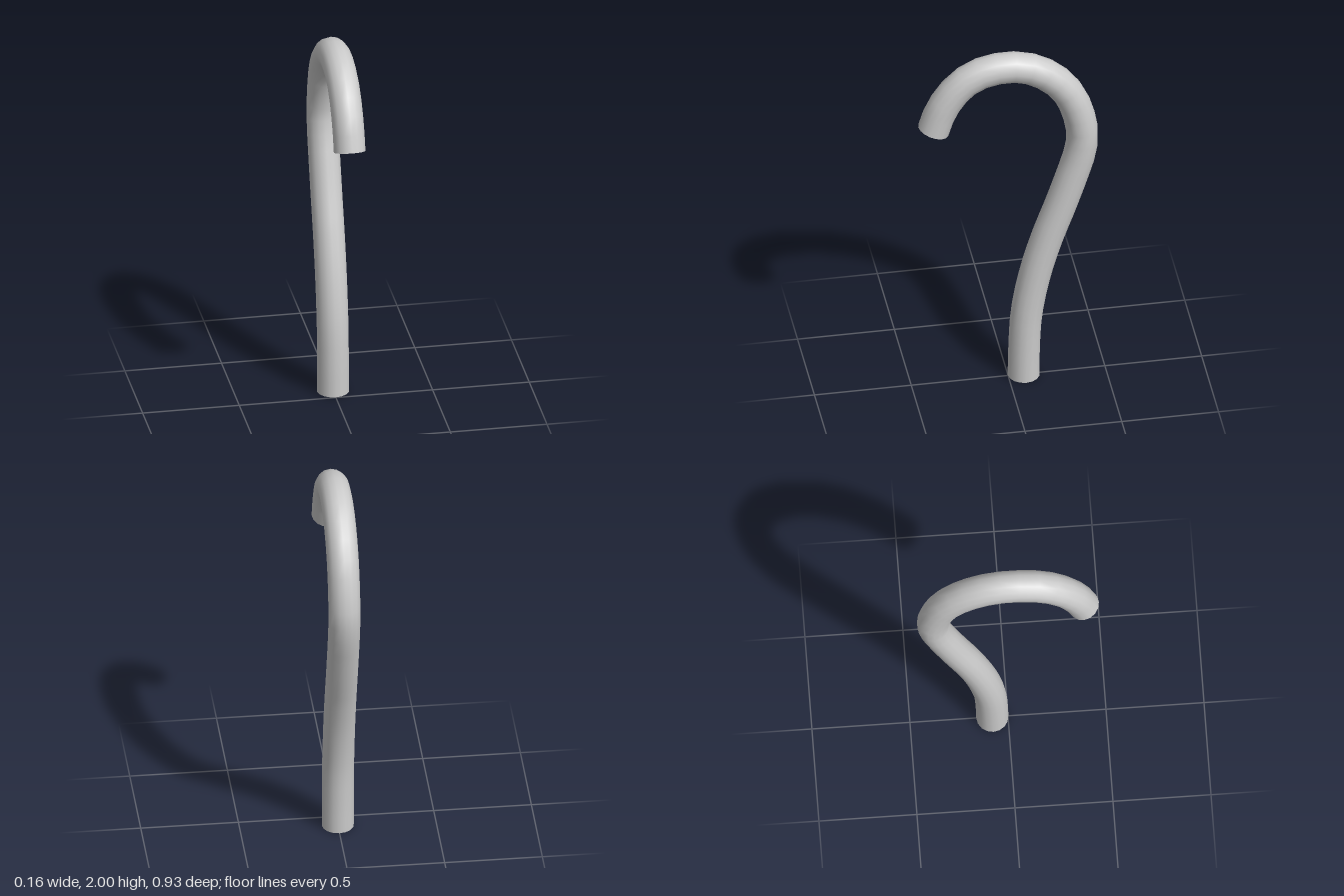
import * as THREE from 'three';

// Centre line of the cane in the z/y plane, from the foot to the tip of the hook
const CENTRE_LINE = [
  [-0.08, 0], [-0.082, 0.14], [-0.095, 0.377], [-0.138, 0.615], [-0.2, 0.833],
  [-0.27, 1.03], [-0.33, 1.21], [-0.37, 1.345], [-0.384, 1.46], [-0.357, 1.61],
  [-0.31, 1.724], [-0.238, 1.814], [-0.146, 1.88], [-0.055, 1.912], [0.037, 1.917],
  [0.135, 1.899], [0.222, 1.853], [0.291, 1.782], [0.35, 1.682], [0.386, 1.574],
];
const RADIUS = 0.082;

export function createModel() {
  const group = new THREE.Group();
  group.name = 'hookedCane';

  // One open-ended tube, smooth shaded, forms both shaft and hook
  const path = new THREE.CatmullRomCurve3(
    CENTRE_LINE.map(([z, y]) => new THREE.Vector3(0, y, z)));
  const cane = new THREE.Mesh(
    new THREE.TubeGeometry(path, 32, RADIUS, 16, false),
    new THREE.MeshStandardMaterial({ color: 0xcccccc, side: THREE.DoubleSide }));
  cane.name = 'caneTube';
  group.add(cane);

  return group;
}
